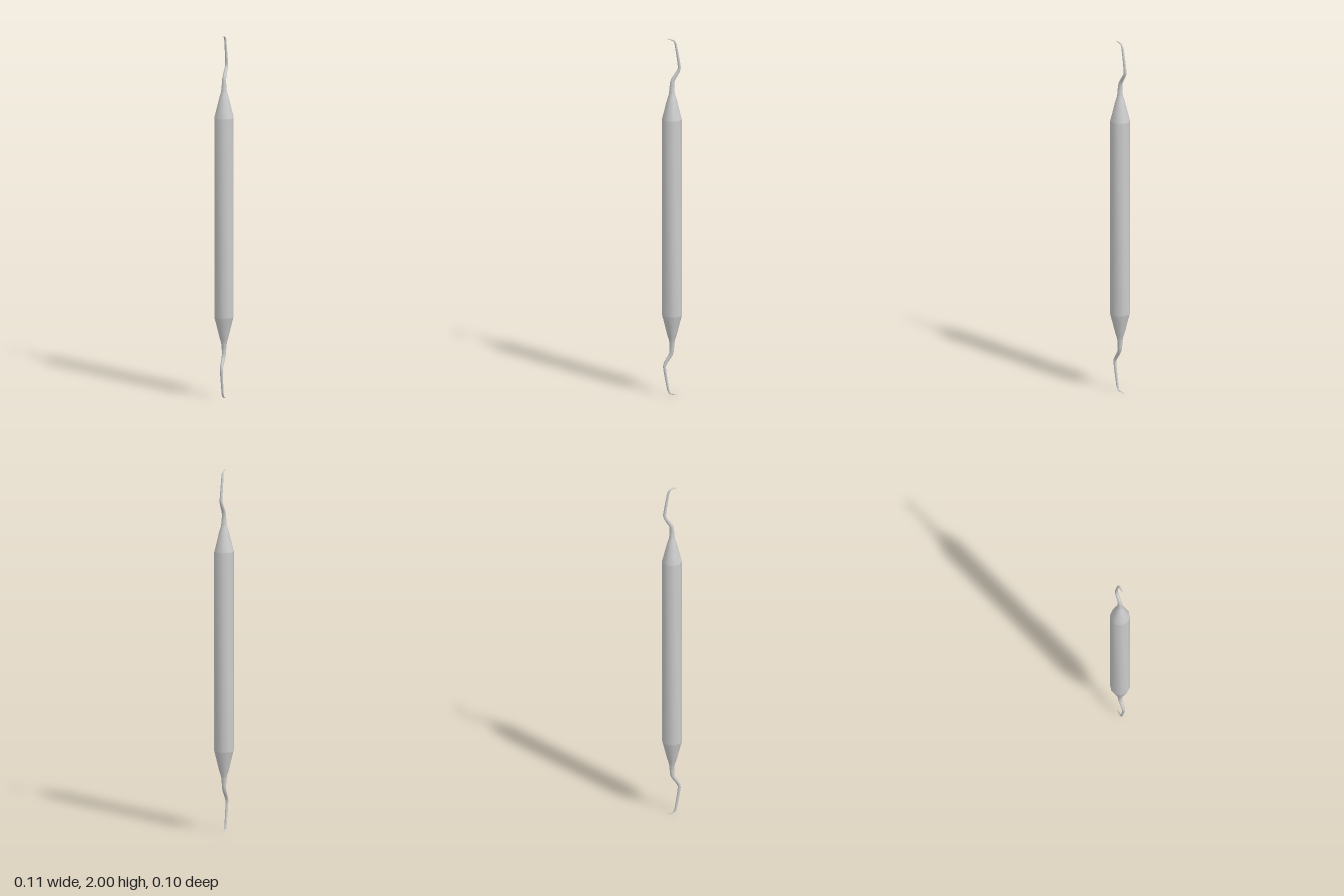
import * as THREE from 'three';

const SIDES = 10;
const material = new THREE.MeshStandardMaterial({ color: 0xcccccc });

// Sweeps a ten-sided section along a path in the YZ plane.
// Each station: [y, z, half width in x, half thickness (defaults to half width)]
function loft(stations, capEnd) {
  const positions = [], index = [];
  stations.forEach(([y, z, rx, rn = rx], i) => {
    const a = stations[Math.max(i - 1, 0)];
    const b = stations[Math.min(i + 1, stations.length - 1)];
    const len = Math.hypot(b[0] - a[0], b[1] - a[1]);
    const ty = (b[0] - a[0]) / len, tz = (b[1] - a[1]) / len;
    for (let j = 0; j < SIDES; j++) {
      const t = (j / SIDES) * Math.PI * 2;
      const n = Math.sin(t) * rn;
      positions.push(Math.cos(t) * rx, y + tz * n, z - ty * n);
      if (i > 0) {
        const k = (j + 1) % SIDES, p = (i - 1) * SIDES, q = i * SIDES;
        index.push(p + j, p + k, q + j, p + k, q + k, q + j);
      }
    }
  });
  if (capEnd) {
    const last = (stations.length - 1) * SIDES;
    for (let j = 1; j < SIDES - 1; j++) index.push(last, last + j, last + j + 1);
  }
  const geometry = new THREE.BufferGeometry();
  geometry.setAttribute('position', new THREE.Float32BufferAttribute(positions, 3));
  geometry.setIndex(index);
  geometry.computeVertexNormals();
  return geometry;
}

function addMesh(parent, name, geometry) {
  const mesh = new THREE.Mesh(geometry, material);
  mesh.name = name;
  parent.add(mesh);
}

// Heights below are measured from the middle of the handle
const GRIP = 0.55, RADIUS = 0.054;

function makeEnd(name) {
  const end = new THREE.Group();
  end.name = name;
  // Cone narrowing from the grip into the neck
  addMesh(end, 'collar', loft([
    [GRIP, 0, RADIUS], [0.6, 0, 0.041], [0.645, 0, 0.03], [0.665, 0, 0.025],
    [0.685, 0, 0.018], [0.705, 0, 0.0145], [0.73, 0, 0.0125],
  ]));
  // Bent shank ending in a thin forward hook
  addMesh(end, 'shankAndHook', loft([
    [0.73, 0, 0.0125], [0.752, -0.001, 0.0115], [0.768, -0.005, 0.0108],
    [0.782, -0.013, 0.0102], [0.8, -0.025, 0.0095], [0.815, -0.034, 0.0088],
    [0.827, -0.0395, 0.0083], [0.84, -0.041, 0.008], [0.87, -0.037, 0.0073],
    [0.92, -0.029, 0.0066], [0.965, -0.021, 0.006], [0.979, -0.017, 0.0058, 0.005],
    [0.988, -0.011, 0.0055, 0.004], [0.994, -0.001, 0.005, 0.003],
    [0.997, 0.014, 0.0045, 0.0024], [0.999, 0.028, 0.002, 0.001],
  ], true));
  return end;
}

export function createModel() {
  const model = new THREE.Group();
  model.name = 'doubleEndedScaler';
  const body = new THREE.Group();
  body.name = 'instrument';
  body.position.y = 1;
  model.add(body);

  addMesh(body, 'grip', loft([[-GRIP, 0, RADIUS], [GRIP, 0, RADIUS]]));

  // The lower end is the upper one turned half a revolution about x
  const upper = makeEnd('upperEnd');
  const lower = makeEnd('lowerEnd');
  lower.rotation.x = Math.PI;
  body.add(upper, lower);
  return model;
}
